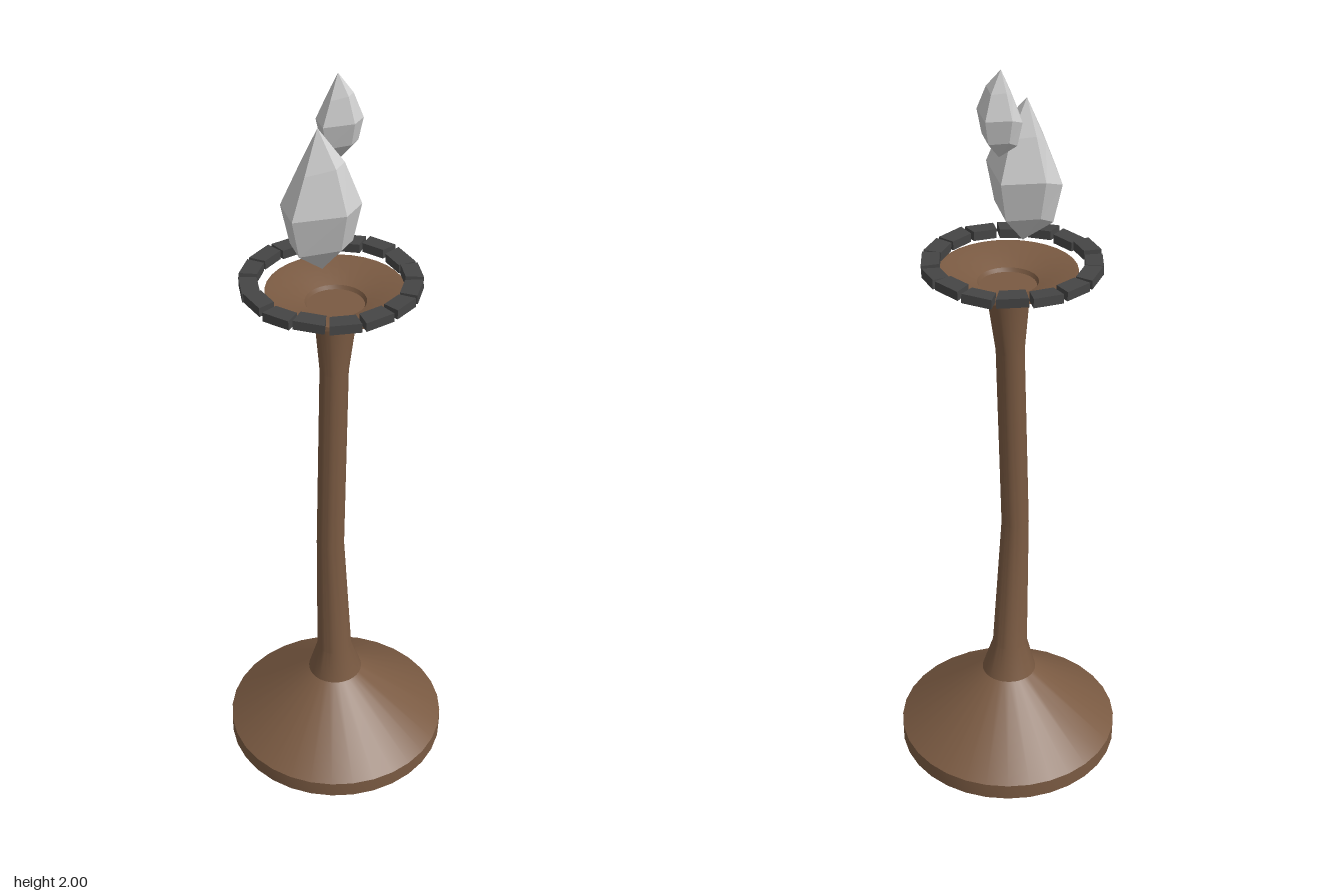
import * as THREE from 'three';
import { toCreasedNormals } from 'three/addons/utils/BufferGeometryUtils.js';

const brown = new THREE.MeshStandardMaterial({ color: 0x7a5a42 });
const charcoal = new THREE.MeshStandardMaterial({ color: 0x454545, flatShading: true });
const grey = new THREE.MeshStandardMaterial({ color: 0xcccccc, flatShading: true });

function addMesh(parent, name, geometry, material) {
  const mesh = new THREE.Mesh(geometry, material);
  mesh.name = name;
  parent.add(mesh);
  return mesh;
}

// Foot, crooked stem and bowl: one turned profile [radius, y, z shift of the axis]
function standGeometry() {
  const profile = [
    [0, 0, 0], [0.305, 0, 0], [0.305, 0.045, 0], [0.075, 0.22, 0.005],
    [0.048, 0.31, 0.01], [0.037, 0.7, 0.035], [0.037, 1.24, 0.01], [0.056, 1.415, 0],
    [0.063, 1.417, 0], [0.175, 1.456, 0], [0.175, 1.468, 0], [0.166, 1.468, 0],
    [0.077, 1.437, 0], [0.072, 1.427, 0], [0, 1.427, 0],
  ];
  const segments = 32;
  const points = profile.map(([r, y]) => new THREE.Vector2(r, y));
  const geometry = new THREE.LatheGeometry(points, segments, Math.PI / 2);
  const pos = geometry.attributes.position;
  for (let i = 0; i < pos.count; i++) {
    pos.setZ(i, pos.getZ(i) + profile[i % profile.length][2]);
  }
  return toCreasedNormals(geometry, 0.4);
}

// Wedge-shaped brick spanning one sixteenth of the ring, centred on +x
function brickGeometry() {
  const half = Math.PI / 16 - 0.024;
  const inner = 0.181, outer = 0.226;
  const shape = new THREE.Shape([
    [inner, -half], [outer, -half], [outer, half], [inner, half],
  ].map(([r, a]) => new THREE.Vector2(r * Math.cos(a), r * Math.sin(a))));
  const geometry = new THREE.ExtrudeGeometry(shape, { depth: 0.024, bevelEnabled: false });
  return geometry.rotateX(-Math.PI / 2).translate(-0.2, -0.012, 0);
}

// Faceted flame: an irregular outline scaled at several heights, closed by two points
function flameGeometry() {
  const outline = [
    [-0.095, -0.045], [-0.1, 0.02], [-0.03, 0.1],
    [0.09, 0.055], [0.097, -0.015], [0, -0.095],
  ];
  const rings = [[0.075, 0.78], [0.175, 1], [0.275, 0.57]]; // [y, scale]
  const lift = [0.01, -0.015, -0.01, 0.012, 0.015, 0];
  const n = outline.length;
  const positions = [0, 0, 0];
  for (const [y, s] of rings) {
    outline.forEach(([x, z], k) => positions.push(x * s, y + lift[k], z * s));
  }
  positions.push(-0.01, 0.365, 0);
  const tip = 1 + rings.length * n;
  const index = [];
  for (let k = 0; k < n; k++) {
    const next = (k + 1) % n;
    index.push(0, 1 + next, 1 + k);
    for (let r = 0; r < rings.length - 1; r++) {
      const a = 1 + r * n + k, b = 1 + r * n + next;
      index.push(a, b, b + n, a, b + n, a + n);
    }
    index.push(tip - n + k, tip - n + next, tip);
  }
  const geometry = new THREE.BufferGeometry();
  geometry.setAttribute('position', new THREE.Float32BufferAttribute(positions, 3));
  geometry.setIndex(index);
  geometry.computeVertexNormals();
  return geometry;
}

export function createModel() {
  const model = new THREE.Group();
  model.name = 'flameStand';

  addMesh(model, 'stand', standGeometry(), brown);

  // Ring of sixteen slightly uneven bricks around the bowl
  const ring = new THREE.Group();
  ring.name = 'brickRing';
  ring.position.set(-0.013, 1.488, 0);
  const brick = brickGeometry();
  for (let i = 0; i < 16; i++) {
    const pivot = new THREE.Group();
    pivot.rotation.y = (i + 0.5) * Math.PI / 8;
    const mesh = addMesh(pivot, 'brick', brick, charcoal);
    mesh.position.set(0.2, 0.003 * Math.sin(i * 2.7), 0);
    mesh.rotation.set(0.05 * Math.sin(i * 4.1), 0, 0.05 * Math.cos(i * 3.3));
    ring.add(pivot);
  }
  model.add(ring);

  // Large flame and the smaller one behind and above it
  const flame = flameGeometry();
  addMesh(model, 'largeFlame', flame, grey).position.set(-0.02, 1.54, 0.035);
  const small = addMesh(model, 'smallFlame', flame, grey);
  small.position.set(-0.02, 1.788, -0.068);
  small.scale.setScalar(0.58);

  return model;
}
